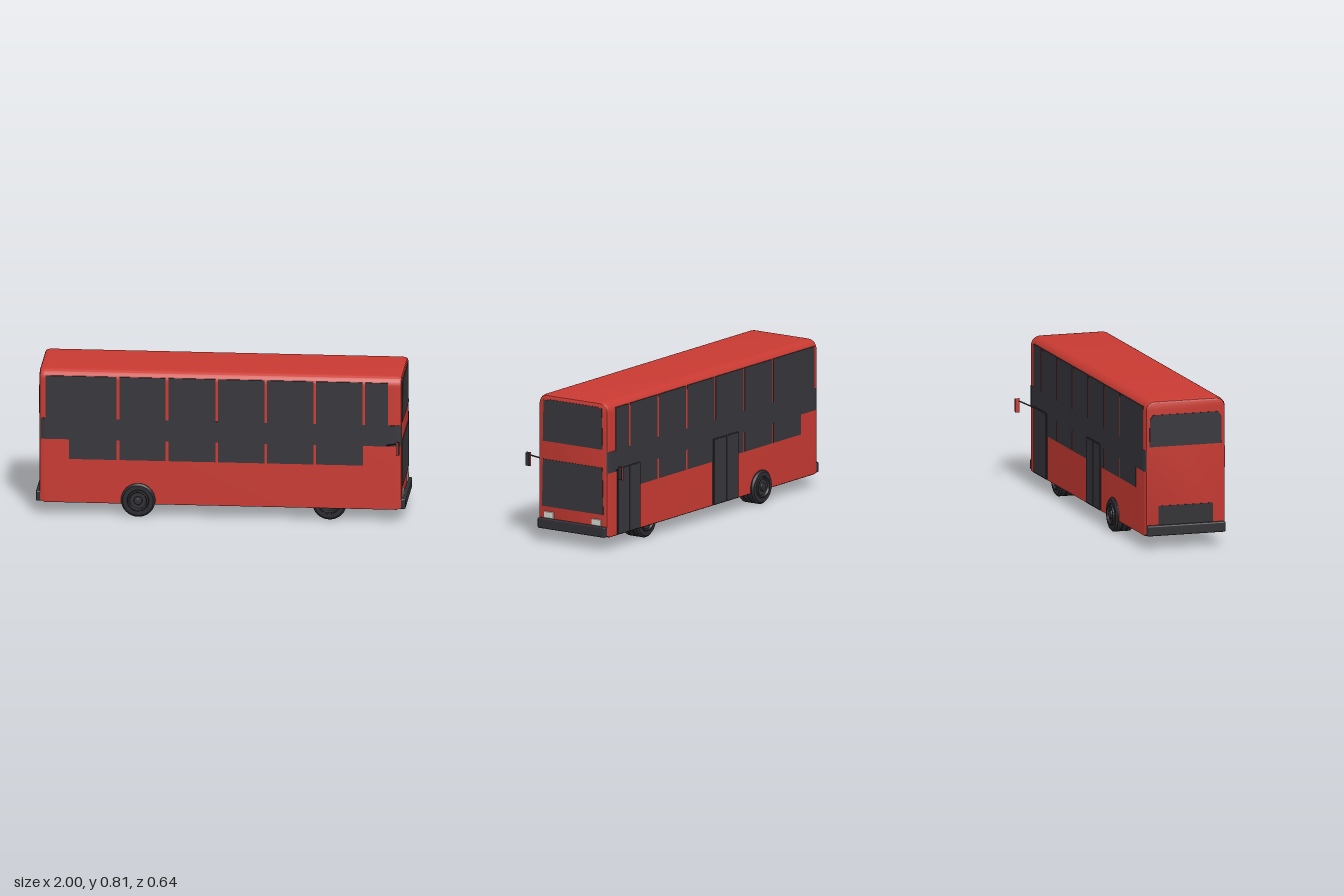
import * as THREE from 'three';
import { toCreasedNormals } from 'three/addons/utils/BufferGeometryUtils.js';
import { RoundedBoxGeometry } from 'three/addons/geometries/RoundedBoxGeometry.js';

const paint = (name, color) => {
  const m = new THREE.MeshStandardMaterial({ color });
  m.name = name;
  return m;
};

export function createModel() {
  const red = paint('red paint', 0xc83a32);
  const glass = paint('dark glass', 0x37363b);
  const trim = paint('dark trim', 0x303035);
  const rubber = paint('tyre rubber', 0x2b2b30);
  const under = paint('underside', 0x222224);
  const lamp = paint('lamp', 0xd2d3cc);

  const bus = new THREE.Group();
  bus.name = 'doubleDeckBus';

  const add = (name, geo, mat, parent = bus) => {
    const mesh = new THREE.Mesh(geo, mat);
    mesh.name = name;
    parent.add(mesh);
    return mesh;
  };
  // Box given by its lower and upper limits
  const box = (name, mat, [x0, x1], [y0, y1], [z0, z1], parent = bus, round = 0) => {
    const size = [x1 - x0, y1 - y0, z1 - z0];
    const geo = round ? new RoundedBoxGeometry(...size, 3, round) : new THREE.BoxGeometry(...size);
    const mesh = add(name, geo, mat, parent);
    mesh.position.set((x0 + x1) / 2, (y0 + y1) / 2, (z0 + z1) / 2);
    return mesh;
  };
  const polygon = (pts) => new THREE.Shape(pts.map(([a, b]) => new THREE.Vector2(a, b)));

  // Body: rounded-roof section extruded along the length, bevelled at both ends
  const w = 0.215, y0 = 0.087, y1 = 0.799, r = 0.04;
  const section = new THREE.Shape();
  section.moveTo(-w, y0);
  section.lineTo(w, y0);
  section.lineTo(w, y1 - r);
  section.absarc(w - r, y1 - r, r, 0, Math.PI / 2, false);
  section.lineTo(-w + r, y1);
  section.absarc(-w + r, y1 - r, r, Math.PI / 2, Math.PI, false);
  section.closePath();
  const bodyGeo = new THREE.ExtrudeGeometry(section, {
    depth: 1.9, bevelThickness: 0.03, bevelSize: 0.014, bevelSegments: 3, curveSegments: 8,
  });
  bodyGeo.translate(0, 0, -0.95).rotateY(Math.PI / 2);
  add('body', toCreasedNormals(bodyGeo, 0.6), red);
  box('underside', under, [-0.955, 0.955], [0.069, 0.076], [-0.222, 0.222]);

  // Side glazing, the same on both sides
  const posts = [-0.555, -0.29, -0.02, 0.245, 0.51, 0.775];
  const windowRow = (name, start, end, low, high, side) => {
    const edges = [start, ...posts.filter((p) => p < end - 0.01), end];
    for (let i = 0; i < edges.length - 1; i++) {
      const a = edges[i] + (i ? 0.008 : 0);
      const b = edges[i + 1] - (i < edges.length - 2 ? 0.008 : 0);
      box(name, glass, [a, b], [low, high], [side * 0.2285 - 0.003, side * 0.2285 + 0.003]);
    }
  };
  for (const side of [-1, 1]) {
    windowRow('upperWindow', -0.945, 0.905, 0.54, 0.779, side);
    windowRow('lowerWindow', -0.82, 0.772, 0.315, 0.428, side);
    // Glass belt that wraps round the bevelled corners
    const belt = polygon([
      [-0.979, 0.218], [-0.972, 0.226], [-0.95, 0.2315], [0.95, 0.2315], [0.972, 0.226], [0.979, 0.218],
      [0.95, 0.222], [-0.95, 0.222],
    ].map(([x, z]) => [x, -side * z]));
    const beltGeo = new THREE.ExtrudeGeometry(belt, { depth: 0.117, bevelEnabled: false });
    add('windowBelt', beltGeo.rotateX(-Math.PI / 2).translate(0, 0.425, 0), glass);
  }

  // Entrance doors, two leaves each, on the right side
  for (const [start, end] of [[0.68, 0.892], [-0.232, 0.0]]) {
    const door = new THREE.Group();
    door.name = 'door';
    bus.add(door);
    box('doorFrame', trim, [start, end], [0.075, 0.44], [-0.234, -0.226], door);
    const half = (end - start) / 2;
    for (let i = 0; i < 2; i++) {
      const a = start + i * half;
      box('doorLeaf', glass, [a + 0.004, a + half - 0.004], [0.08, 0.436], [-0.238, -0.23], door);
    }
  }

  // Thin plates on the two ends: outlines are half-widths, bottom to top
  const endPlate = (name, mat, end, outline) => {
    const pts = [...outline, ...outline.map(([z, y]) => [-z, y]).reverse()];
    const geo = new THREE.ExtrudeGeometry(polygon(pts), { depth: 0.006, bevelEnabled: false });
    geo.translate(0, 0, 0.977).rotateY(end * Math.PI / 2);
    add(name, geo, mat);
  };
  endPlate('upperWindscreen', glass, 1, [[0.197, 0.555], [0.192, 0.781], [0.165, 0.781], [0.165, 0.787]]);
  endPlate('lowerWindscreen', glass, 1, [[0.202, 0.195], [0.196, 0.455]]);
  endPlate('rearWindow', glass, -1, [[0.205, 0.56], [0.203, 0.71], [0.185, 0.735]]);
  endPlate('engineGrille', trim, -1, [[0.155, 0.13], [0.155, 0.235]]);

  // Bumpers
  box('frontBumper', trim, [0.968, 1.0], [0.073, 0.13], [-0.222, 0.222], bus, 0.008);
  box('rearBumper', trim, [-1.0, -0.968], [0.073, 0.13], [-0.222, 0.222], bus, 0.008);

  // Headlights and mirrors
  for (const side of [-1, 1]) {
    const light = box('headlight', lamp, [0.972, 0.986], [0.131, 0.167], [0.126, 0.188], bus, 0.004);
    light.position.z *= side;

    const mirror = new THREE.Group();
    mirror.name = 'mirror';
    mirror.scale.z = side;
    bus.add(mirror);
    const arm = new THREE.LineCurve3(new THREE.Vector3(0.895, 0.428, 0.225), new THREE.Vector3(0.963, 0.46, 0.297));
    add('mirrorArm', new THREE.TubeGeometry(arm, 1, 0.004, 8), trim, mirror);
    box('mirrorHousing', red, [0.958, 0.964], [0.398, 0.474], [0.293, 0.318], mirror);
    box('mirrorFace', trim, [0.963, 0.974], [0.401, 0.471], [0.295, 0.3165], mirror);
  }

  // Wheels: grooved tyre and stepped hub, profiles as [radius, distance outward]
  const lathe = (pts) => {
    const geo = new THREE.LatheGeometry(pts.map(([a, b]) => new THREE.Vector2(a, b)), 32);
    return toCreasedNormals(geo.rotateX(Math.PI / 2), 0.6);
  };
  const tyreGeo = lathe([
    [0, 0], [0.083, 0], [0.093, 0.01], [0.093, 0.032], [0.089, 0.034], [0.089, 0.038], [0.093, 0.04],
    [0.093, 0.066], [0.089, 0.068], [0.089, 0.072], [0.093, 0.074], [0.093, 0.098], [0.083, 0.108],
    [0.06, 0.108], [0.056, 0.1], [0, 0.1],
  ]);
  const hubGeo = lathe([
    [0.057, 0.098], [0.057, 0.115], [0.05, 0.116], [0.044, 0.106], [0.024, 0.106],
    [0.021, 0.115], [0.012, 0.118], [0, 0.118],
  ]);
  for (const [name, x, inner] of [['rearWheel', -0.445, 0.137], ['frontWheel', 0.587, 0.105]]) {
    for (const side of [-1, 1]) {
      const wheel = new THREE.Group();
      wheel.name = name;
      wheel.position.set(x, 0.094, side * inner);
      wheel.rotation.y = side > 0 ? 0 : Math.PI;
      bus.add(wheel);
      add('tyre', tyreGeo, rubber, wheel);
      add('hub', hubGeo, trim, wheel);
    }
  }
  return bus;
}
